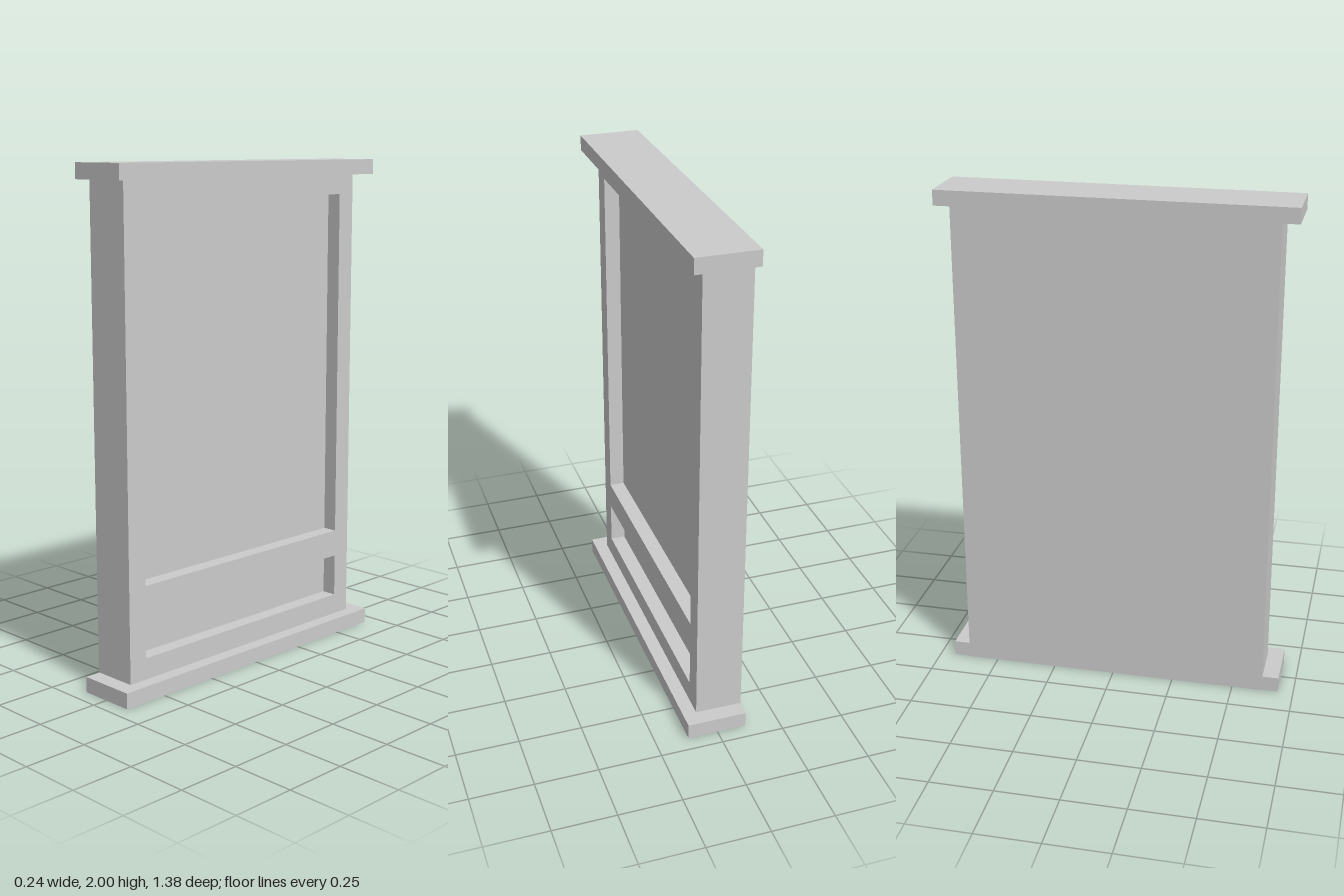
import * as THREE from 'three';

const material = new THREE.MeshStandardMaterial({ color: 0xcccccc, flatShading: true });

// Box given by its x and y ranges, centred on z
function slab(name, x0, x1, y0, y1, width) {
  const geometry = new THREE.BoxGeometry(x1 - x0, y1 - y0, width);
  geometry.translate((x0 + x1) / 2, (y0 + y1) / 2, 0);
  const mesh = new THREE.Mesh(geometry, material);
  mesh.name = name;
  return mesh;
}

// Trace a rectangle centred across the panel
function rectangle(path, halfWidth, y0, y1) {
  path.moveTo(-halfWidth, y0);
  path.lineTo(halfWidth, y0);
  path.lineTo(halfWidth, y1);
  path.lineTo(-halfWidth, y1);
  path.closePath();
  return path;
}

export function createModel() {
  const group = new THREE.Group();
  group.name = 'recessedWallPanel';

  const back = -0.12, recessFloor = 0.005, face = 0.066, ledge = 0.12;
  const bodyWidth = 1.246, ledgeWidth = 1.376;

  // Solid panel forming the back and the floors of both recesses
  group.add(slab('backPanel', back, recessFloor, 0, 1.94, bodyWidth));

  // Frame with a tall upper opening and a low lower opening
  const outline = rectangle(new THREE.Shape(), bodyWidth / 2, 0, 1.94);
  for (const [y0, y1] of [[0.433, 1.86], [0.147, 0.322]]) {
    outline.holes.push(rectangle(new THREE.Path(), 0.543, y0, y1));
  }
  const frameGeometry = new THREE.ExtrudeGeometry(outline, {
    depth: face - recessFloor, bevelEnabled: false,
  });
  frameGeometry.rotateY(Math.PI / 2); // extrusion now runs along +x
  frameGeometry.translate(recessFloor, 0, 0);
  const frame = new THREE.Mesh(frameGeometry, material);
  frame.name = 'frontFrame';
  group.add(frame);

  // Projecting plinth and cap
  group.add(slab('basePlinth', back + 0.004, ledge, 0, 0.062, ledgeWidth));
  group.add(slab('topCap', back, ledge, 1.94, 2, ledgeWidth));

  return group;
}
